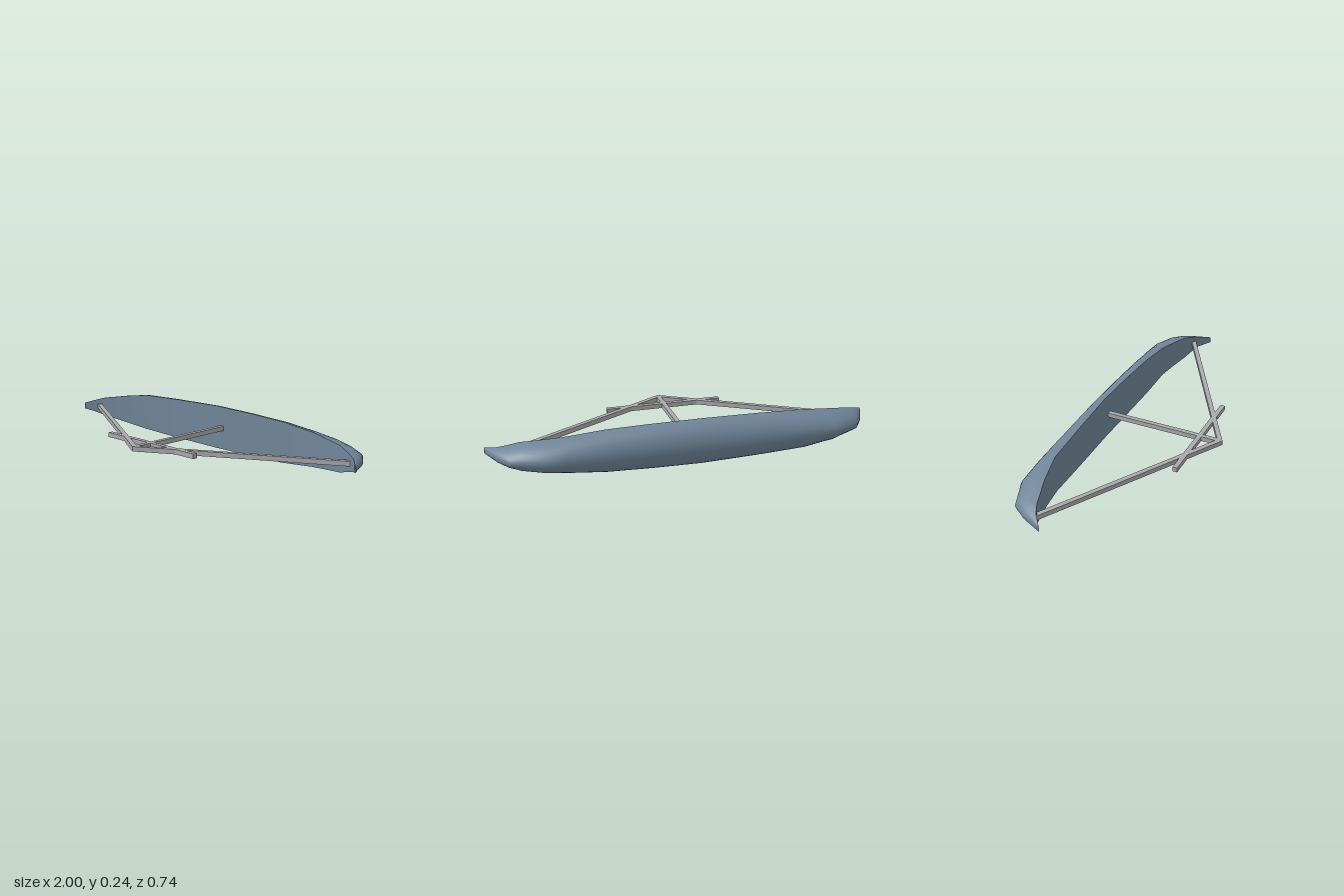
import * as THREE from 'three';
import { toCreasedNormals } from 'three/addons/utils/BufferGeometryUtils.js';

const MID_Y = 0.12;
const BAR = 0.025;

// Hull stations: x, half height, rim z, back z
const STATIONS = [
  [-1, 0.017, -0.122, -0.135],
  [-0.95, 0.036, -0.165, -0.24],
  [-0.9, 0.052, -0.188, -0.31],
  [-0.75, 0.079, -0.232, -0.37],
  [-0.6, 0.101, -0.262, -0.37],
  [-0.35, 0.111, -0.27, -0.37],
  [-0.05, 0.118, -0.279, -0.37],
  [0.2, 0.115, -0.274, -0.37],
  [0.43, 0.108, -0.267, -0.37],
  [0.63, 0.089, -0.259, -0.37],
  [0.74, 0.077, -0.235, -0.37],
  [0.84, 0.066, -0.208, -0.334],
  [0.9, 0.047, -0.186, -0.31],
  [0.95, 0.032, -0.162, -0.24],
  [1, 0.016, -0.107, -0.12],
];

// D-shaped sections: half ellipse at the back, closed by the flat deck
function hullGeometry(segments = 16) {
  const positions = [];
  const index = [];
  const ring = segments + 1;
  for (const [x, h, rim, back] of STATIONS) {
    for (let i = 0; i < ring; i++) {
      const a = (i / segments) * Math.PI;
      positions.push(x, MID_Y + h * Math.cos(a), rim + (back - rim) * Math.sin(a));
    }
  }
  const last = (STATIONS.length - 1) * ring;
  for (let s = 0; s < STATIONS.length - 1; s++) {
    for (let i = 0; i < ring; i++) {
      const j = (i + 1) % ring;
      const a = s * ring + i, b = s * ring + j;
      index.push(a, b, a + ring, b, b + ring, a + ring);
    }
  }
  // End caps
  for (let i = 1; i < segments; i++) {
    index.push(0, i + 1, i);
    index.push(last, last + i, last + i + 1);
  }
  const g = new THREE.BufferGeometry();
  g.setAttribute('position', new THREE.Float32BufferAttribute(positions, 3));
  g.setIndex(index);
  return toCreasedNormals(g, 0.6);
}

export function createModel() {
  const model = new THREE.Group();
  const hullBlue = new THREE.MeshStandardMaterial({ color: 0x708599, side: THREE.DoubleSide });
  hullBlue.name = 'slate blue';
  const frameGrey = new THREE.MeshStandardMaterial({ color: 0xaaaaae });
  frameGrey.name = 'light grey';

  const hull = new THREE.Mesh(hullGeometry(), hullBlue);
  hull.name = 'hull';
  model.add(hull);

  // Square bar between two points in the horizontal plane
  function addBar(name, x1, z1, x2, z2) {
    const length = Math.hypot(x2 - x1, z2 - z1);
    const bar = new THREE.Mesh(new THREE.BoxGeometry(BAR, BAR, length), frameGrey);
    bar.position.set((x1 + x2) / 2, MID_Y, (z1 + z2) / 2);
    bar.rotation.y = Math.atan2(x2 - x1, z2 - z1);
    bar.name = name;
    model.add(bar);
  }

  const cx = -0.007;
  addBar('centreStrut', cx, -0.284, cx, 0.35);
  addBar('crossBar', cx - 0.317, 0.247, cx + 0.317, 0.247);
  for (const [side, name] of [[-1, 'rightStay'], [1, 'leftStay']]) {
    addBar(name, cx + side * 0.925, -0.182, cx - side * 0.006, 0.361);
  }
  return model;
}
